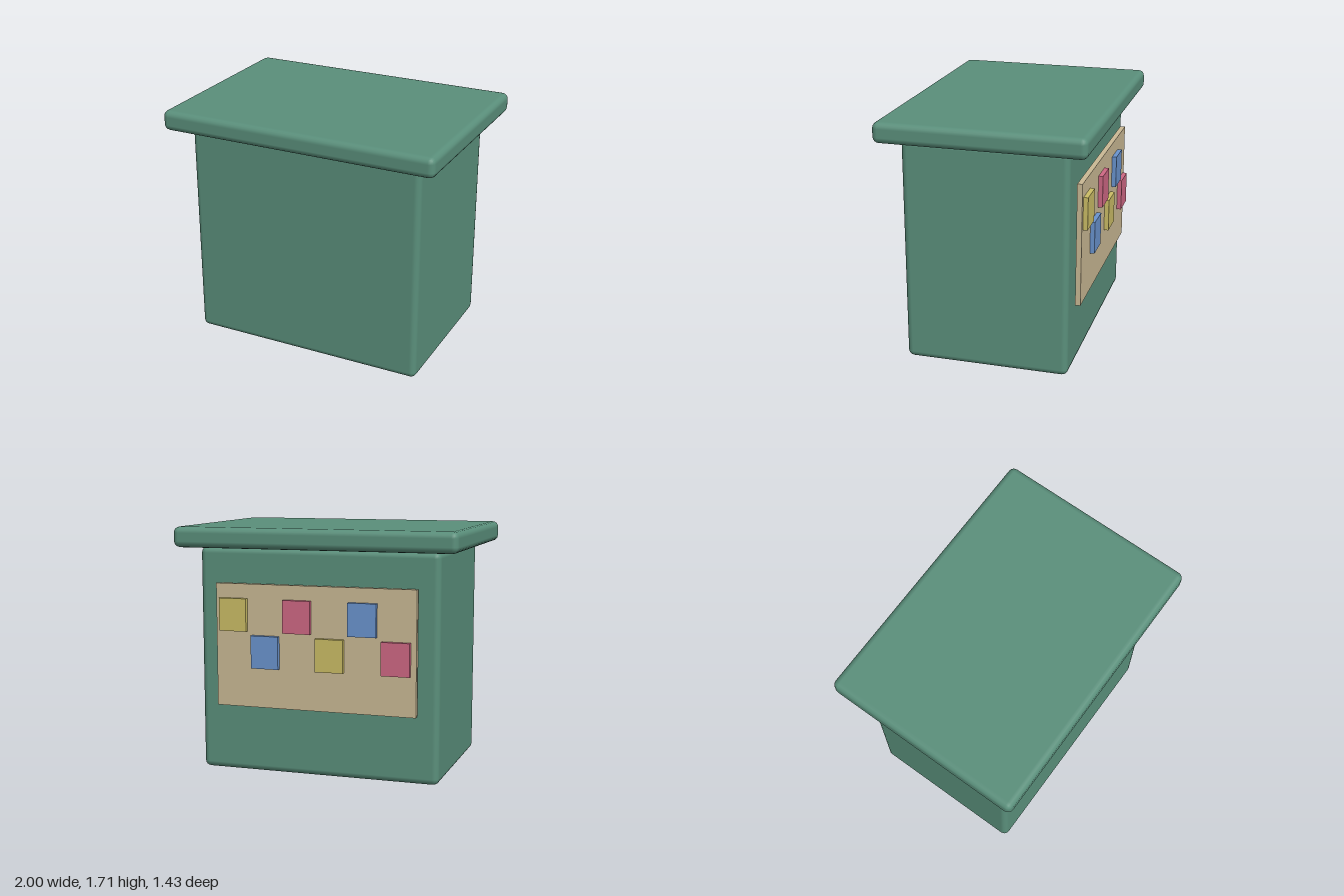
import * as THREE from 'three';
import { RoundedBoxGeometry } from 'three/addons/geometries/RoundedBoxGeometry.js';

const mat = (name, color) => {
  const m = new THREE.MeshStandardMaterial({ color });
  m.name = name;
  return m;
};

export function createModel() {
  const model = new THREE.Group();
  model.name = 'counter';

  const green = mat('green paint', 0x5a8f7b);
  const cork = mat('cork', 0xcab994);
  const yellow = mat('yellow paper', 0xcbbd66);
  const blue = mat('blue paper', 0x6a94cf);
  const pink = mat('pink paper', 0xcf6884);

  const add = (name, geometry, material, x, y, z) => {
    const mesh = new THREE.Mesh(geometry, material);
    mesh.name = name;
    mesh.position.set(x, y, z);
    model.add(mesh);
  };

  // Softly rounded body and overhanging top
  add('body', new RoundedBoxGeometry(1.714, 1.571, 1.143, 2, 0.043), green, 0, 0.786, 0);
  add('top', new RoundedBoxGeometry(2, 0.143, 1.429, 2, 0.043), green, 0, 1.643, 0);

  // Pin board standing just off the back face
  add('pinBoard', new THREE.BoxGeometry(1.429, 0.857, 0.036), cork, 0, 0.9, -0.607);

  // Two staggered rows of paper notes
  const note = new THREE.BoxGeometry(0.198, 0.227, 0.032);
  const papers = [yellow, blue, pink];
  for (let i = 0; i < 6; i++) {
    add('note' + (i + 1), note, papers[i % 3], 0.583 - i * 0.232, i % 2 ? 0.862 : 1.115, -0.641);
  }

  return model;
}
